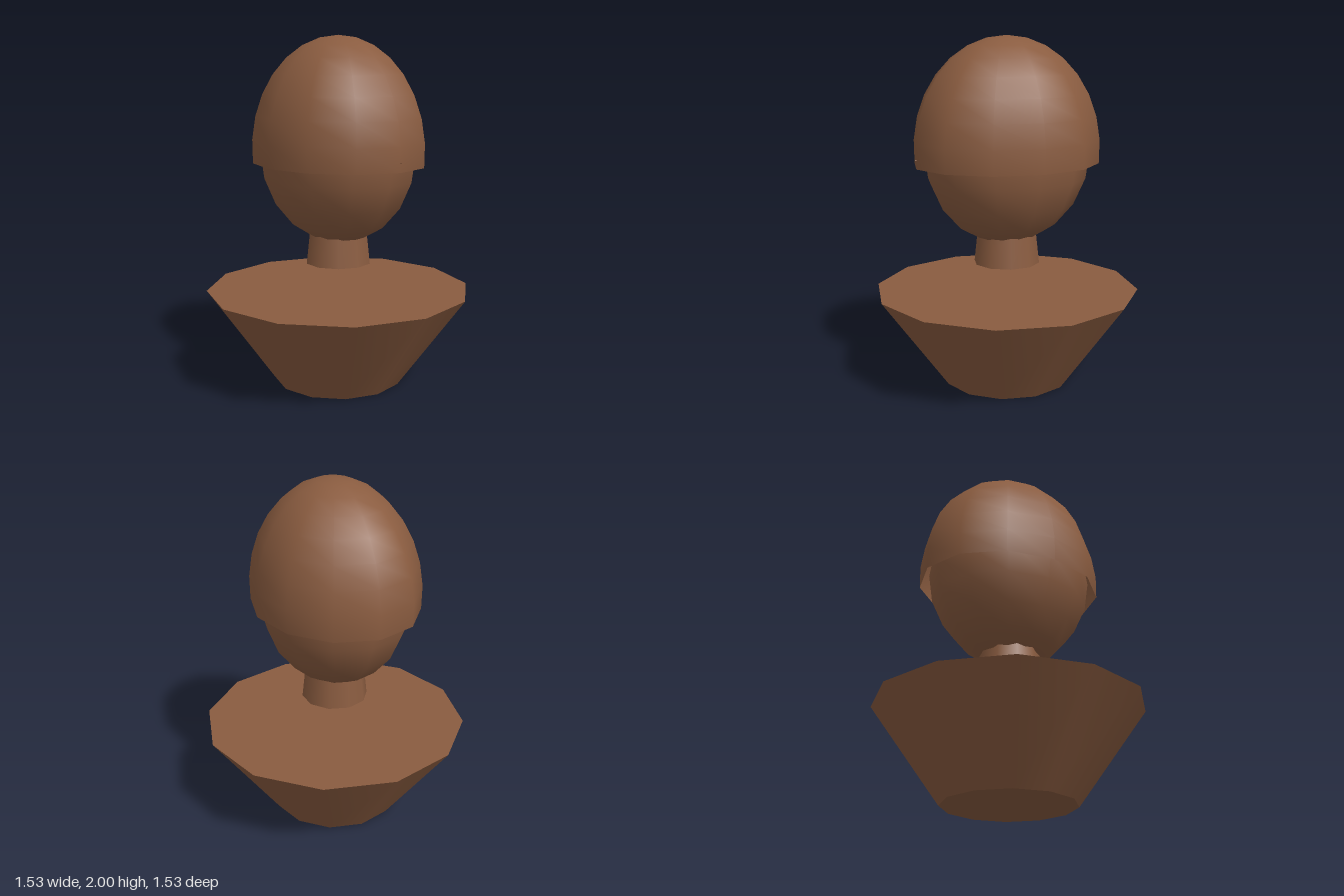
import * as THREE from 'three';

export function createModel() {
  const model = new THREE.Group();
  const brown = new THREE.MeshStandardMaterial({ color: 0x8a5c40, side: THREE.DoubleSide });
  brown.name = 'warm brown';

  const add = (name, geometry, y, scale = [1, 1, 1]) => {
    const mesh = new THREE.Mesh(geometry, brown);
    mesh.name = name;
    mesh.position.y = y;
    mesh.scale.set(...scale);
    model.add(mesh);
    return mesh;
  };

  // Tapered shoulders, wide at the top
  add('shoulders', new THREE.CylinderGeometry(0.767, 0.375, 0.545, 12), 0.2725);

  // Short neck, floating above the shoulders and tucked into the head
  add('neck', new THREE.CylinderGeometry(0.17, 0.192, 0.2, 10), 0.8);

  // Egg-shaped head, deeper than wide
  add('head', new THREE.SphereGeometry(1, 12, 10), 1.36, [0.43, 0.54, 0.49]);

  // Open shell over the upper head, ending just below its widest ring
  const shell = new THREE.SphereGeometry(1, 12, 8, 0, Math.PI * 2, 0, Math.PI * 0.54);
  add('hairCap', shell, 1.36, [0.47, 0.64, 0.551]);

  // Tiny nose tip poking through the front of the cap
  const nose = add('noseTip', new THREE.ConeGeometry(0.008, 0.03, 6), 1.33);
  nose.rotation.x = Math.PI / 2;
  nose.position.z = 0.545;

  return model;
}
